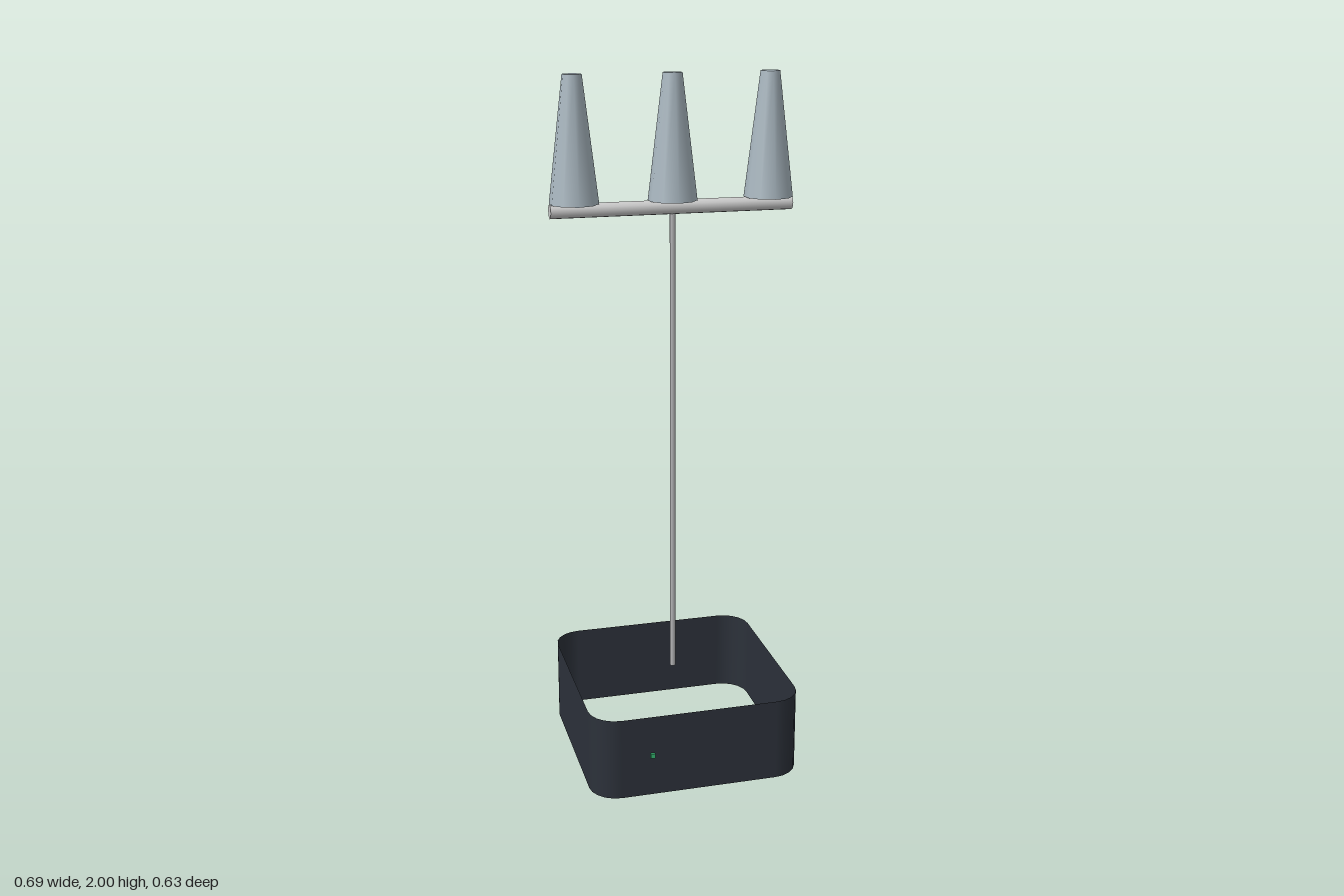
import * as THREE from 'three';

const CZ = -0.004; // shared centre line of the body, behind the indicator light

function add(group, name, geometry, material, x, y, z = CZ) {
  const mesh = new THREE.Mesh(geometry, material);
  mesh.name = name;
  mesh.position.set(x, y, z);
  group.add(mesh);
  return mesh;
}

// Open band of wall following a rounded square, without top or bottom
function roundedWall(half, radius, height, steps) {
  const positions = [], normals = [], index = [];
  for (let corner = 0; corner < 4; corner++) {
    const mid = Math.PI / 4 + corner * Math.PI / 2;
    const cx = Math.sign(Math.cos(mid)) * (half - radius);
    const cz = Math.sign(Math.sin(mid)) * (half - radius);
    for (let i = 0; i <= steps; i++) {
      const a = (corner + i / steps) * Math.PI / 2;
      const nx = Math.cos(a), nz = Math.sin(a);
      for (const y of [0, height]) {
        positions.push(cx + nx * radius, y, cz + nz * radius);
        normals.push(nx, 0, nz);
      }
    }
  }
  const count = positions.length / 6;
  for (let i = 0; i < count; i++) {
    const a = i * 2, b = ((i + 1) % count) * 2;
    index.push(a, a + 1, b, b, a + 1, b + 1);
  }
  const geometry = new THREE.BufferGeometry();
  geometry.setAttribute('position', new THREE.Float32BufferAttribute(positions, 3));
  geometry.setAttribute('normal', new THREE.Float32BufferAttribute(normals, 3));
  geometry.setIndex(index);
  return geometry;
}

export function createModel() {
  const model = new THREE.Group();
  model.name = 'tripleConeStand';

  const dark = new THREE.MeshStandardMaterial({ color: 0x2c313a, side: THREE.DoubleSide });
  const steel = new THREE.MeshStandardMaterial({ color: 0xb4b4b6 });
  const light = new THREE.MeshStandardMaterial({ color: 0xd4d4d8 });
  const blueGrey = new THREE.MeshStandardMaterial({ color: 0xa9b7c0 });
  const green = new THREE.MeshStandardMaterial({ color: 0x35b36f });

  // Base: hollow rounded square with a small light on its front
  add(model, 'baseWall', roundedWall(0.31, 0.08, 0.245, 5), dark, 0, 0);
  add(model, 'indicatorLight', new THREE.BoxGeometry(0.013, 0.013, 0.008), green, -0.14, 0.125, 0.31);

  // Pole from the rim level of the base up to the crossbar
  const poleBottom = 0.245, poleTop = 1.63;
  add(model, 'pole', new THREE.CylinderGeometry(0.008, 0.008, poleTop - poleBottom, 10),
    steel, 0, (poleBottom + poleTop) / 2);

  // Crossbar
  const bar = add(model, 'crossbar', new THREE.CylinderGeometry(0.02, 0.02, 0.69, 12), light, 0, 1.636);
  bar.rotation.z = Math.PI / 2;

  // Three ten-sided truncated cones standing on the crossbar
  const cone = new THREE.CylinderGeometry(0.027, 0.069, 0.345, 10);
  ['rightCone', 'middleCone', 'leftCone'].forEach((name, i) =>
    add(model, name, cone, blueGrey, (i - 1) * 0.277, 1.8275));

  return model;
}
